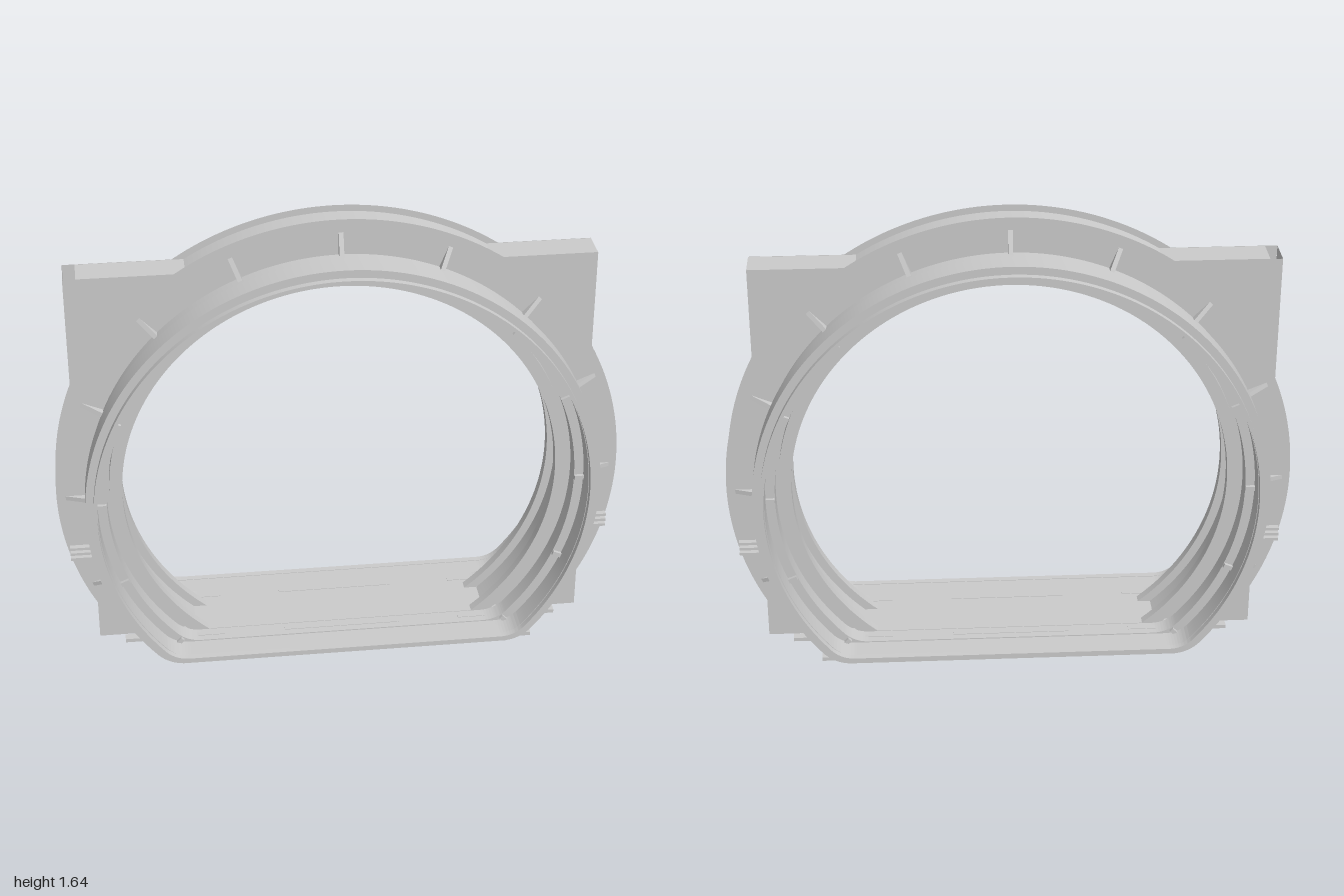
import * as THREE from 'three';
import { toCreasedNormals } from 'three/addons/utils/BufferGeometryUtils.js';

const YC = 0.64; // height of the ring axis
const EAR = 1.47; // top of the square ears
const BASE = 0.02; // underside of the plates
const W = 0.882; // half width of the body
const LEFT_EAR = 0.925; // reach of the wider ear on the -x side

const material = new THREE.MeshStandardMaterial({ color: 0xcccccc });
const sheetMaterial = new THREE.MeshStandardMaterial({ color: 0xcccccc, side: THREE.DoubleSide });

// Circle cut off flat at y = floor, with bottom corners softened by r
function cutCircle(R, floor, r, Type = THREE.Shape) {
  const s = new Type();
  const a = Math.asin((floor - YC) / R);
  const cx = R * Math.cos(a);
  const b = a + r / R;
  s.moveTo(-cx + r, floor);
  s.lineTo(cx - r, floor);
  if (r > 0) s.quadraticCurveTo(cx, floor, R * Math.cos(b), YC + R * Math.sin(b));
  s.absarc(0, YC, R, b, Math.PI - b, false);
  if (r > 0) s.quadraticCurveTo(-cx, floor, -cx + r, floor);
  return s;
}

// Plate with square ears, a round top and, if bulging, round sides
function plateShape(R, bulge, leftEar) {
  const s = new THREE.Shape();
  const top = Math.asin((EAR - YC) / R);
  const side = Math.acos(W / R);
  s.moveTo(-W, BASE);
  s.lineTo(W, BASE);
  if (bulge) s.absarc(0, YC, R, -side, side, false);
  s.lineTo(W, EAR);
  s.absarc(0, YC, R, top, Math.PI - top, false);
  s.lineTo(-leftEar, EAR);
  if (bulge) s.absarc(0, YC, R, Math.PI - Math.acos(leftEar / R), Math.PI + side, false);
  s.holes.push(cutCircle(0.8, 0.042, 0, THREE.Path));
  return s;
}

function extrude(shape, z0, z1) {
  const g = new THREE.ExtrudeGeometry(shape, { depth: z1 - z0, bevelEnabled: false, curveSegments: 72 });
  g.translate(0, 0, z0);
  return toCreasedNormals(g, 0.5);
}

export function createModel() {
  const model = new THREE.Group();
  const add = (name, geometry, parent = model, mat = material) => {
    const m = new THREE.Mesh(geometry, mat);
    m.name = name;
    parent.add(m);
    return m;
  };
  const box = (name, w, h, d, x, y, z) =>
    add(name, new THREE.BoxGeometry(w, h, d).translate(x, y, z));

  // Central body, and the thin panel closing the wider ear
  add('centralBody', extrude(plateShape(0.978, false, W), -0.056, 0.056));
  const earPanel = new THREE.PlaneGeometry(0.114, EAR - 1.02);
  earPanel.rotateY(-Math.PI / 2).translate(-LEFT_EAR, (EAR + 1.02) / 2, 0);
  add('earPanel', earPanel, model, sheetMaterial);

  // Stepped collar slices: name, z0, z1, outer R, outer floor, inner R, inner floor
  const slices = [
    ['innerRim', 0.056, 0.09, 0.815, 0.012, 0.77, 0.042],
    ['collarRoot', 0.09, 0.155, 0.888, 0.012, 0.825, 0.04],
    ['collarBand', 0.155, 0.237, 0.9, 0.002, 0.858, 0.036],
    ['collarLip', 0.237, 0.26, 0.872, 0.025, 0.86, 0.038],
  ];

  for (const s of [1, -1]) {
    const label = s > 0 ? 'front' : 'back';
    for (const [name, z0, z1, R, floor, r, innerFloor] of slices) {
      const shape = cutCircle(R, floor, 0.06);
      shape.holes.push(cutCircle(r, innerFloor, r > 0.8 ? 0.05 : 0, THREE.Path));
      add(label + name[0].toUpperCase() + name.slice(1),
        s > 0 ? extrude(shape, z0, z1) : extrude(shape, -z1, -z0));
    }

    // Thin face sheet, wider than the body
    const sheet = new THREE.ShapeGeometry(plateShape(1, true, LEFT_EAR), 72);
    const face = add(label + 'Face', sheet, model, sheetMaterial);
    face.position.z = s * 0.058;

    // Triangular gussets outside and small ribs inside the collar
    for (let i = -2; i <= 10; i++) {
      const spoke = new THREE.Group();
      spoke.name = label + 'Spoke';
      spoke.position.y = YC;
      spoke.rotation.z = i * Math.PI / 8;
      model.add(spoke);
      if (i > -2 && i < 10) {
        const tri = new THREE.Shape([
          new THREE.Vector2(0.87, s * 0.087),
          new THREE.Vector2(0.967, s * 0.087),
          new THREE.Vector2(0.87, s * 0.122),
        ]);
        const g = new THREE.ExtrudeGeometry(tri, { depth: 0.016, bevelEnabled: false });
        g.translate(0, 0, -0.008).rotateX(Math.PI / 2);
        add('gusset', g, spoke);
      }
      add('innerRib', new THREE.BoxGeometry(0.034, 0.016, 0.014).translate(0.843, 0, s * 0.16), spoke);
    }

    for (const x of [1, -1]) {
      // Triple clip bars beside the collar
      for (const y of [0.395, 0.416, 0.437])
        box('clipBar', 0.11, 0.01, 0.02, x * 0.91, y, s * 0.098);
      // Horizontal tab at the foot and short strip at the end of the floor
      box('footTab', 0.2, 0.014, 0.03, x * 0.69, 0.034, s * 0.105);
      box('endStrip', 0.1, 0.006, 0.016, x * 0.48, 0.039, s * 0.12);
    }
    box('footPad', 0.07, 0.014, 0.04, 0.65, 0.009, s * 0.195);
    // Long strip along the middle of the floor
    box('floorStrip', 0.42, 0.006, 0.016, 0, 0.039, s * 0.12);
  }

  // Flat floor closing the bottom
  box('floorPlate', 1.18, 0.034, 0.474, 0, 0.019, 0);
  return model;
}
